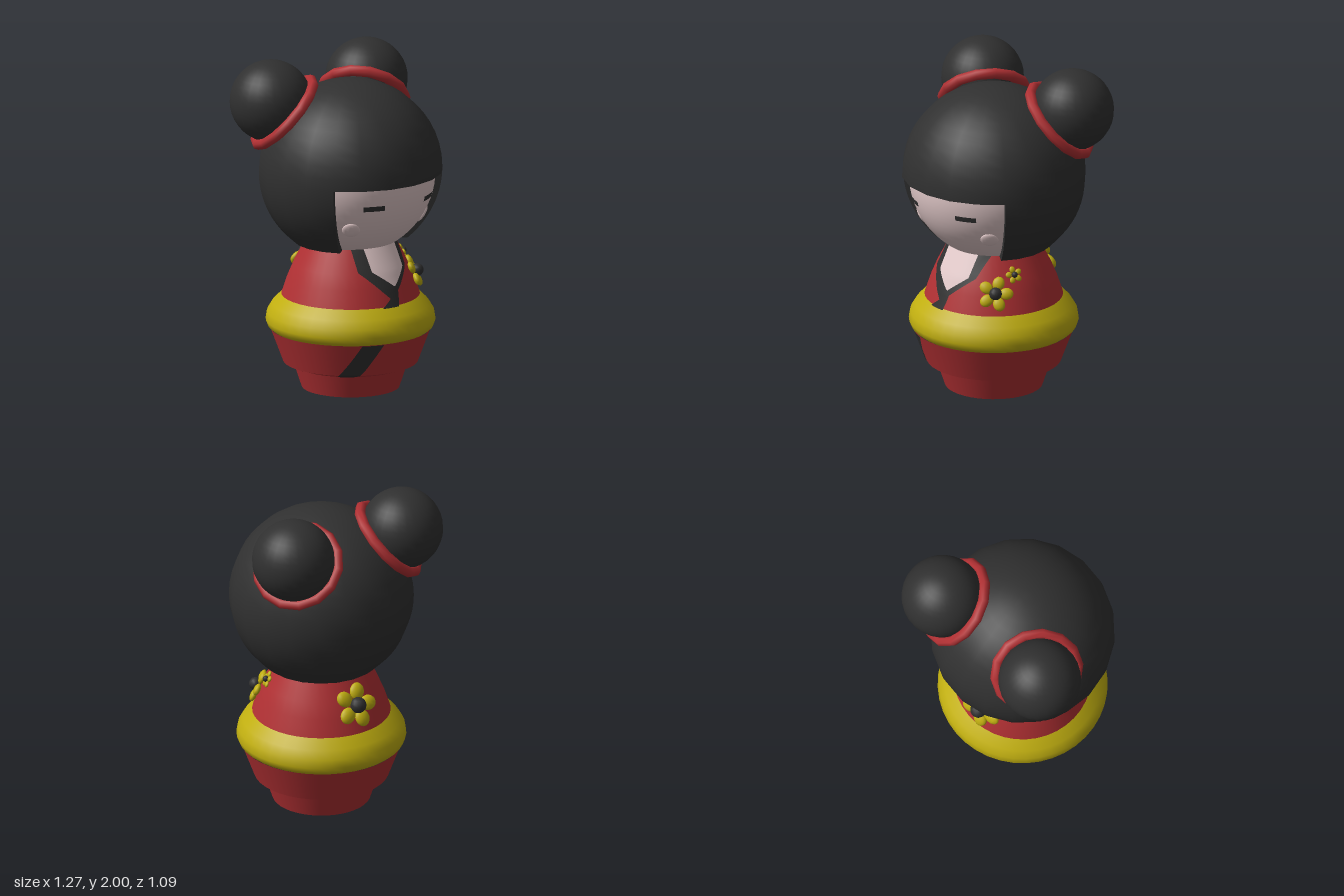
import * as THREE from 'three';

const mat = (name, color, side = THREE.FrontSide) => {
  const m = new THREE.MeshStandardMaterial({ color, side });
  m.name = name;
  return m;
};

// Kimono outline above and below the sash: [radius, height]
const SKIRT = [[0.29, 0], [0.335, 0.135], [0.4, 0.158], [0.475, 0.36]];
const ROBE = [[0.415, 0.55], [0.375, 0.67], [0.337, 0.76], [0.265, 0.9]];

const HEAD_Y = 1.32, HAIR_R = 0.547, FACE_R = 0.503, CUT_Y = 0.89;
const DROP = HEAD_Y - CUT_Y;
const OPEN = THREE.MathUtils.degToRad(54); // half angle of the face opening

function radiusAt(profile, y) {
  for (let i = 1; i < profile.length; i++) {
    const [r0, y0] = profile[i - 1], [r1, y1] = profile[i];
    if (y <= y1 || i === profile.length - 1) return r0 + (r1 - r0) * (y - y0) / (y1 - y0);
  }
}

export function createModel() {
  const root = new THREE.Group();
  root.name = 'doll';
  const black = mat('black', 0x303030, THREE.DoubleSide);
  const red = mat('red', 0xb03033);
  const yellow = mat('yellow', 0xc0ae10);
  const skin = mat('skin', 0xe3caca, THREE.DoubleSide);

  const add = (name, geo, material, parent = root) => {
    const m = new THREE.Mesh(geo, material);
    m.name = name;
    parent.add(m);
    return m;
  };
  const lathe = (name, pts, material) =>
    add(name, new THREE.LatheGeometry(pts.map(p => new THREE.Vector2(...p)), 40), material);

  // Body
  lathe('base', [[0, 0], [0.29, 0]], red);
  lathe('foot', SKIRT.slice(0, 2), red);
  lathe('skirtHem', SKIRT.slice(1, 3), red);
  lathe('skirt', SKIRT.slice(2), red);
  lathe('robe', ROBE, red);
  lathe('robeTop', [[0.265, 0.9], [0, 0.9]], red);
  lathe('sash', [[0.465, 0.355], [0.49, 0.375], [0.503, 0.41], [0.495, 0.46], [0.465, 0.51], [0.41, 0.566]], yellow);
  lathe('sashUnderside', [[0.44, 0.355], [0.478, 0.355]], yellow);

  // Cloth panels laid on the body; rows are [height, left x, right x], top to bottom
  function panel(name, profile, rows, lift, material) {
    const pos = [], index = [], N = 12, SUB = 5, W = N + 1;
    let count = 0;
    for (let i = 0; i < rows.length - 1; i++) {
      for (let s = i ? 1 : 0; s <= SUB; s++, count++) {
        const [y, a, b] = rows[i].map((v, k) => v + (rows[i + 1][k] - v) * s / SUB);
        const r = radiusAt(profile, y) + lift;
        for (let j = 0; j <= N; j++) {
          const x = a + (b - a) * j / N;
          pos.push(x, y, Math.sqrt(r * r - x * x));
        }
      }
    }
    for (let i = 0; i < count - 1; i++) for (let j = 0; j < N; j++) {
      const p = i * W + j;
      index.push(p, p + W, p + 1, p + 1, p + W, p + W + 1);
    }
    const g = new THREE.BufferGeometry();
    g.setAttribute('position', new THREE.Float32BufferAttribute(pos, 3));
    g.setIndex(index);
    g.computeVertexNormals();
    add(name, g, material);
  }
  panel('collar', ROBE, [[0.9, -0.185, 0.188], [0.77, -0.197, 0.16], [0.65, -0.088, 0.022],
    [0.61, -0.048, 0.014], [0.56, -0.115, 0]], 0.005, black);
  panel('neckline', ROBE, [[0.9, -0.125, 0.125], [0.77, -0.125, 0.12], [0.677, -0.004, 0.004]], 0.009, skin);
  panel('skirtOverlap', SKIRT, [[0.358, -0.275, -0.155], [0.2, -0.315, -0.215], [0.158, -0.325, -0.235],
    [0.135, -0.285, -0.222]], 0.005, black);

  // Head: a ball of hair with a wedge cut open for the face
  const head = new THREE.Group();
  head.name = 'head';
  head.position.y = HEAD_Y;
  root.add(head);
  const patch = (r, az, azLen, th, thLen, w, h) =>
    new THREE.SphereGeometry(r, w, h, Math.PI / 2 + az, azLen, th, thLen);
  const cut = r => Math.acos(-DROP / r) - Math.PI / 2;
  add('hairCrown', patch(HAIR_R, 0, Math.PI * 2, 0, Math.PI / 2, 20, 12), black, head);
  add('hairSides', patch(HAIR_R, OPEN, Math.PI * 2 - 2 * OPEN, Math.PI / 2, cut(HAIR_R), 14, 10), black, head);
  add('face', patch(FACE_R, -OPEN - 0.05, 2 * OPEN + 0.1, Math.PI / 2, cut(FACE_R), 24, 12), skin, head);

  const fringe = add('fringeUnderside', new THREE.RingGeometry(0.46, HAIR_R, 6, 1, -Math.PI / 2 - OPEN, 2 * OPEN), black, head);
  fringe.rotation.x = Math.PI / 2;
  fringe.scale.y = -1;
  const hairBase = add('hairUnderside',
    new THREE.CircleGeometry(Math.sqrt(HAIR_R ** 2 - DROP ** 2), 14, Math.PI / 2 + OPEN, Math.PI * 2 - 2 * OPEN), black, head);
  hairBase.rotation.x = Math.PI / 2;
  hairBase.position.y = -DROP;
  const chin = add('chinUnderside',
    new THREE.CircleGeometry(Math.sqrt(FACE_R ** 2 - DROP ** 2), 12, Math.PI / 2 - OPEN, 2 * OPEN), skin, head);
  chin.rotation.x = Math.PI / 2;
  chin.position.y = -DROP;

  // Cut edge of the hair beside the face
  const edge = new THREE.Shape();
  edge.moveTo(0.2, 0);
  edge.lineTo(HAIR_R, 0);
  edge.absarc(0, 0, HAIR_R, 0, -cut(HAIR_R), true);
  edge.lineTo(0.2, -DROP);

  const up = new THREE.Vector3(0, 0, 1);
  for (const s of [-1, 1]) {
    const side = s > 0 ? 'left' : 'right';
    add(side + 'HairEdge', new THREE.ShapeGeometry(edge), black, head).rotation.y = s * OPEN - Math.PI / 2;

    // Closed eye, a thin curved strip on the face
    add(side + 'Eye', patch(FACE_R + 0.004, s * 0.465 - 0.135, 0.27, Math.PI / 2 + 0.215, 0.064, 6, 2), black, head);

    // Cheek
    const cheek = add(side + 'Cheek', new THREE.SphereGeometry(0.055, 14, 10), skin, head);
    const dir = new THREE.Vector3(s * 0.29, -0.265, 0.31).normalize();
    cheek.position.copy(dir).multiplyScalar(FACE_R - 0.005);
    cheek.quaternion.setFromUnitVectors(up, dir);
    cheek.scale.z = 0.35;

    // Hair bun with its ribbon
    const bun = add(side + 'Bun', new THREE.SphereGeometry(0.245, 28, 20), black, head);
    bun.position.set(s * 0.388, 0.435, -0.275);
    const axis = bun.position.clone().normalize();
    const ribbon = add(side + 'Ribbon', new THREE.TorusGeometry(0.247, 0.033, 8, 14), red, head);
    ribbon.position.copy(axis).multiplyScalar(0.535);
    ribbon.quaternion.setFromUnitVectors(up, axis);
  }

  // Flowers on the robe
  function flower(name, azimuth, y, size, turn) {
    const holder = new THREE.Group();
    holder.name = name;
    const r = radiusAt(ROBE, y) + size * 0.1;
    holder.position.set(Math.sin(azimuth) * r, y, Math.cos(azimuth) * r);
    holder.rotation.set(-0.43, azimuth, turn, 'YXZ');
    for (let i = 0; i < 5; i++) {
      const a = i * Math.PI * 0.4 + Math.PI / 2;
      const petal = add('petal', new THREE.SphereGeometry(size * 0.4, 12, 8), yellow, holder);
      petal.position.set(Math.cos(a) * size * 0.62, Math.sin(a) * size * 0.62, 0);
      petal.rotation.z = a;
      petal.scale.set(1, 0.85, 0.5);
    }
    add('flowerCentre', new THREE.SphereGeometry(size * 0.36, 12, 8), black, holder).position.z = size * 0.2;
    root.add(holder);
  }
  flower('largeFrontFlower', 0.84, 0.695, 0.105, -0.3);
  flower('smallFrontFlower', 1.19, 0.79, 0.052, 0.2);
  flower('backFlower', Math.PI, 0.73, 0.135, -0.35);

  return root;
}
